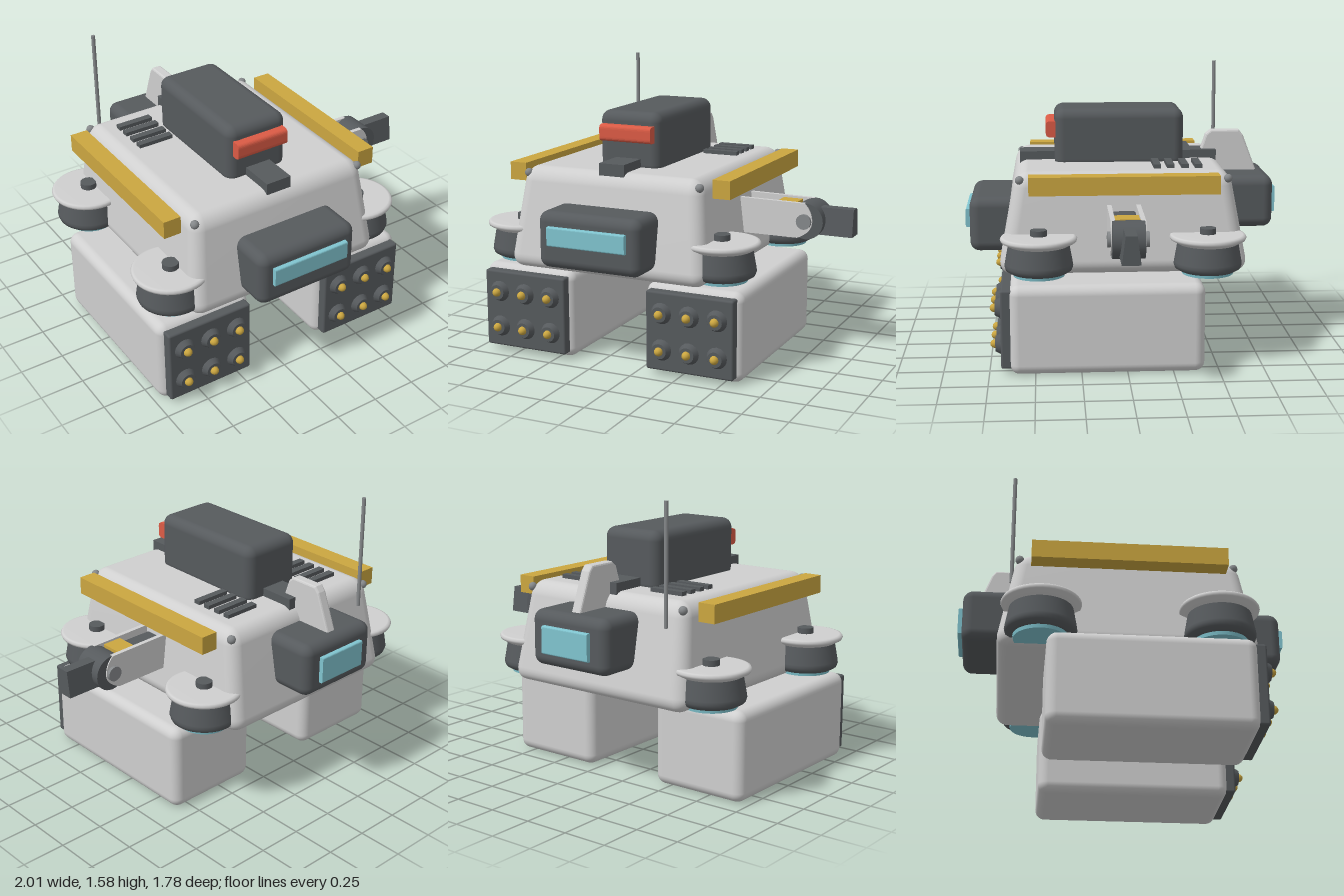
import * as THREE from 'three';
import { RoundedBoxGeometry } from 'three/addons/geometries/RoundedBoxGeometry.js';
import { mergeVertices } from 'three/addons/utils/BufferGeometryUtils.js';

const mat = (name, color) => {
  const m = new THREE.MeshStandardMaterial({ color });
  m.name = name;
  return m;
};

export function createModel() {
  const root = new THREE.Group();
  root.name = 'hoverCraft';
  const light = mat('lightHull', 0xcfcfcf);
  const dark = mat('darkGrey', 0x565a5d);
  const gold = mat('gold', 0xcba640);
  const cyan = mat('cyanGlass', 0x80c4cf);
  const red = mat('redLamp', 0xdb5b45);
  const metal = mat('metal', 0x85888a);
  const CX = -0.19; // centre line of the hull

  const add = (name, geo, m, x = 0, y = 0, z = 0, parent = root) => {
    const mesh = new THREE.Mesh(geo, m);
    mesh.name = name;
    mesh.position.set(x, y, z);
    parent.add(mesh);
    return mesh;
  };
  // Box given by its limits; r > 0 rounds the edges
  const box = (name, m, [x0, x1], [y0, y1], [z0, z1], r = 0, parent = root) => {
    const s = [x1 - x0, y1 - y0, z1 - z0];
    const geo = r ? new RoundedBoxGeometry(...s, 4, r) : new THREE.BoxGeometry(...s);
    return add(name, geo, m, (x0 + x1) / 2, (y0 + y1) / 2, (z0 + z1) / 2, parent);
  };
  // Bar along x with a rounded cross-section
  const bar = (name, m, x, y, z, w, h, d, r) => {
    const s = new THREE.Shape(), a = d / 2, b = h / 2;
    s.moveTo(-a + r, -b);
    s.lineTo(a - r, -b).quadraticCurveTo(a, -b, a, -b + r);
    s.lineTo(a, b - r).quadraticCurveTo(a, b, a - r, b);
    s.lineTo(-a + r, b).quadraticCurveTo(-a, b, -a, b - r);
    s.lineTo(-a, -b + r).quadraticCurveTo(-a, -b, -a + r, -b);
    const geo = new THREE.ExtrudeGeometry(s, { depth: w, bevelEnabled: false, curveSegments: 6 });
    geo.translate(0, 0, -w / 2).rotateY(Math.PI / 2);
    add(name, geo, m, x, y, z);
  };

  // Hull: rounded box narrowing upward
  let hull = new RoundedBoxGeometry(1.19, 0.56, 1.37, 5, 0.08);
  const p = hull.attributes.position;
  for (let i = 0; i < p.count; i++) {
    const t = p.getY(i) + 0.24;
    p.setX(i, p.getX(i) * (1 - 0.2 * t));
    p.setZ(i, p.getZ(i) * (1 - 0.27 * t));
  }
  hull.deleteAttribute('normal');
  hull.deleteAttribute('uv');
  hull = mergeVertices(hull);
  hull.computeVertexNormals();
  add('hull', hull, light, CX, 0.79, 0.01);

  // Front and rear sensor housings
  box('frontHousing', dark, [-0.49, 0.12], [0.58, 0.89], [0.55, 0.865], 0.055);
  bar('frontLens', cyan, -0.185, 0.763, 0.865, 0.46, 0.105, 0.05, 0.01);
  box('rearHousing', dark, [-0.445, 0.07], [0.69, 0.99], [-0.865, -0.5], 0.055);
  bar('rearLens', cyan, -0.185, 0.84, -0.865, 0.31, 0.15, 0.05, 0.01);

  // Upper cabin with its lamp, and the spine under it
  box('cabin', dark, [-0.37, 0], [1.03, 1.372], [-0.355, 0.38], 0.055);
  bar('redLamp', red, -0.185, 1.255, 0.39, 0.31, 0.092, 0.08, 0.025);
  box('spine', dark, [-0.262, -0.112], [1.05, 1.117], [-0.555, 0.58]);

  // Roof vents
  for (const x of [-0.6, 0.02])
    for (const z of [-0.415, -0.34, -0.26, -0.185])
      box('vent', dark, [x, x + 0.207], [1.05, 1.092], [z - 0.02, z + 0.02]);

  // Side rails
  for (const x of [-0.855, 0.38])
    box('sideRail', gold, [x, x + 0.1], [0.97, 1.07], [-0.505, 0.527]);

  // Hull corner bolts
  for (const x of [-0.703, 0.33])
    for (const z of [-0.565, 0.577])
      add('cornerBolt', new THREE.SphereGeometry(0.024, 12, 8), metal, x, 1.03, z);

  // Tail fin and antenna
  const fin = new THREE.Shape([[0.43, 0.96], [0.8, 0.96], [0.71, 1.19], [0.69, 1.215], [0.535, 1.215], [0.51, 1.195]]
    .map(([a, b]) => new THREE.Vector2(a, b)));
  const finGeo = new THREE.ExtrudeGeometry(fin, { depth: 0.04, bevelSize: 0.01, bevelThickness: 0.01, bevelSegments: 2 });
  finGeo.translate(0, 0, -0.02).rotateY(Math.PI / 2);
  add('tailFin', finGeo, light, -0.187, 0, 0);
  add('antenna', new THREE.CylinderGeometry(0.011, 0.011, 0.65, 12), metal, -0.625, 1.26, -0.605);

  // Corner thrusters
  const lathe = pts => new THREE.LatheGeometry(pts.map(([r, y]) => new THREE.Vector2(r, y)), 40);
  const rim = lathe([[0, 0.69], [0.165, 0.69], [0.165, 0.69], [0.205, 0.712], [0.21, 0.725], [0.203, 0.737], [0.19, 0.74], [0, 0.74]]);
  const pot = lathe([[0, 0.54], [0.155, 0.54], [0.155, 0.54], [0.18, 0.555], [0.187, 0.575], [0.185, 0.59], [0.185, 0.59], [0.165, 0.7]]);
  for (const x of [-0.797, 0.415])
    for (const z of [-0.447, 0.476]) {
      const g = new THREE.Group();
      g.name = 'thruster';
      g.position.set(x, 0, z);
      root.add(g);
      add('thrusterRim', rim, light, 0, 0, 0, g);
      add('thrusterBody', pot, dark, 0, 0, 0, g);
      add('thrusterGlow', new THREE.CylinderGeometry(0.145, 0.14, 0.03, 40), cyan, 0, 0.536, 0, g);
      add('thrusterCap', new THREE.CylinderGeometry(0.045, 0.045, 0.04, 20), dark, 0, 0.752, 0, g);
    }

  // Launcher pods with six tubes each
  for (const x of [-0.688, 0.317]) {
    const pod = new THREE.Group();
    pod.name = 'launcherPod';
    pod.position.x = x;
    root.add(pod);
    box('podShell', light, [-0.283, 0.283], [0.006, 0.502], [-0.42, 0.64], 0.055, pod);
    box('podFace', dark, [-0.253, 0.253], [0.038, 0.475], [0.6, 0.686], 0.012, pod);
    for (const dx of [-0.161, 0, 0.161])
      for (const y of [0.155, 0.358]) {
        const collar = add('tubeCollar', new THREE.CylinderGeometry(0.042, 0.061, 0.035, 16), dark, dx, y, 0.7, pod);
        collar.rotation.x = Math.PI / 2;
        const tip = add('tubeTip', new THREE.SphereGeometry(0.024, 14, 10), gold, dx, y, 0.718, pod);
        tip.scale.z = 1.15;
      }
  }

  // Left side arm: two cheek plates, a joint and a tapered tool head
  const arm = new THREE.Group();
  arm.name = 'sideArm';
  arm.position.z = 0.01;
  root.add(arm);
  const cheek = new THREE.Shape();
  cheek.moveTo(0.3, 0.695);
  cheek.lineTo(0.7, 0.695).quadraticCurveTo(0.785, 0.73, 0.785, 0.79);
  cheek.quadraticCurveTo(0.785, 0.85, 0.74, 0.89).lineTo(0.3, 0.895);
  const cheekGeo = new THREE.ExtrudeGeometry(cheek, { depth: 0.025, bevelEnabled: false, curveSegments: 8 });
  for (const s of [-1, 1]) {
    add('armCheek', cheekGeo, light, 0, 0, s * 0.08 - 0.0125, arm);
    const bolt = add('armBolt', new THREE.CylinderGeometry(0.042, 0.042, 0.02, 20), metal, 0.74, 0.79, s * 0.1, arm);
    bolt.rotation.x = Math.PI / 2;
  }
  box('armCore', dark, [0.3, 0.56], [0.71, 0.86], [-0.065, 0.065], 0.015, arm);
  box('armBlock', gold, [0.563, 0.675], [0.72, 0.88], [-0.067, 0.067], 0, arm);
  const joint = add('armJoint', new THREE.CylinderGeometry(0.1, 0.1, 0.172, 32), dark, 0.745, 0.79, 0, arm);
  joint.rotation.x = Math.PI / 2;
  const head = new THREE.BoxGeometry(0.24, 0.15, 0.1);
  const hp = head.attributes.position;
  for (let i = 0; i < hp.count; i++)
    if (hp.getY(i) > 0) hp.setZ(i, hp.getZ(i) * 0.6);
  head.computeVertexNormals();
  add('toolHead', head, dark, 0.88, 0.79, 0, arm);
  add('armStud', new THREE.SphereGeometry(0.022, 12, 8), light, 0.62, 0.69, 0, arm);
  return root;
}
